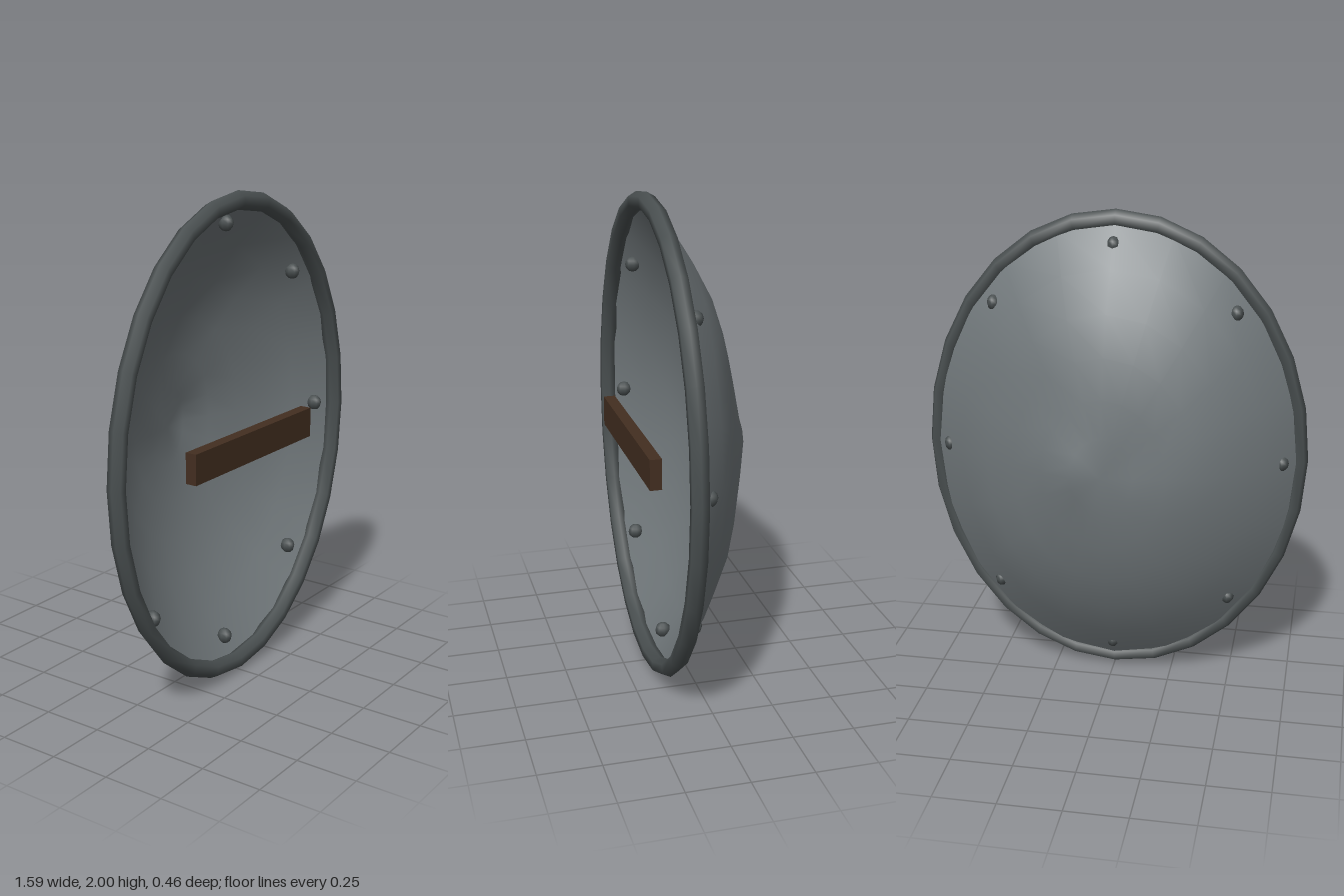
import * as THREE from 'three';
import { mergeVertices } from 'three/addons/utils/BufferGeometryUtils.js';

const steel = new THREE.MeshStandardMaterial({ color: 0x70777a, side: THREE.DoubleSide });
steel.name = 'worn steel';
const iron = new THREE.MeshStandardMaterial({ color: 0x4a5051 });
iron.name = 'dark iron';
const wood = new THREE.MeshStandardMaterial({ color: 0x432e20 });
wood.name = 'dark wood';

// Dents and bumps hammered into the dome: x, y from centre, depth, width
const dents = [
  [0.13, 0.0, -0.03, 0.14],
  [0.42, -0.08, 0.025, 0.2],
  [0.38, 0.28, 0.03, 0.2],
  [-0.38, -0.02, -0.012, 0.18],
  [-0.12, 0.1, 0.015, 0.15],
  [0.0, 0.7, -0.015, 0.15],
];

function domeGeometry() {
  let geo = new THREE.RingGeometry(0, 1, 20, 6);
  const p = geo.attributes.position;
  for (let i = 0; i < p.count; i++) {
    const s = Math.hypot(p.getX(i), p.getY(i));
    const x = p.getX(i) * 0.755, y = p.getY(i) * 0.95;
    let z = 0.11 - 0.32 * (1 - Math.pow(s, 2.3));
    for (const [dx, dy, depth, w] of dents) {
      z += depth * Math.exp(-((x - dx) ** 2 + (y - dy) ** 2) / (w * w)) * (1 - s ** 4);
    }
    p.setXYZ(i, x, y, z);
  }
  // Weld the seam and the pole for smooth shading
  geo.deleteAttribute('uv');
  geo.deleteAttribute('normal');
  geo = mergeVertices(geo, 1e-4);
  geo.computeVertexNormals();
  return geo;
}

export function createModel() {
  const shield = new THREE.Group();
  shield.name = 'shield';

  const add = (name, geo, mat, x, y, z) => {
    const mesh = new THREE.Mesh(geo, mat);
    mesh.name = name;
    mesh.position.set(x, y, z);
    shield.add(mesh);
    return mesh;
  };

  // Curved plate, bulging to the back
  add('dome', domeGeometry(), steel, 0, 1, 0);

  // Oval rim
  const rim = add('rim', new THREE.TorusGeometry(0.9625, 0.0375, 6, 28), iron, 0, 1, 0.132);
  rim.scale.x = 0.795;

  // Eight rivets around the edge
  const rivetGeo = new THREE.SphereGeometry(0.033, 8, 6);
  for (let i = 0; i < 8; i++) {
    const a = (i * Math.PI) / 4;
    const rivet = add('rivet', rivetGeo, iron, 0.692 * Math.cos(a), 1.003 + 0.868 * Math.sin(a), 0.076);
    rivet.scale.x = 0.85;
  }

  // Grip bar
  add('handle', new THREE.BoxGeometry(0.82, 0.124, 0.048), wood, 0, 1.002, 0.204);

  return shield;
}
